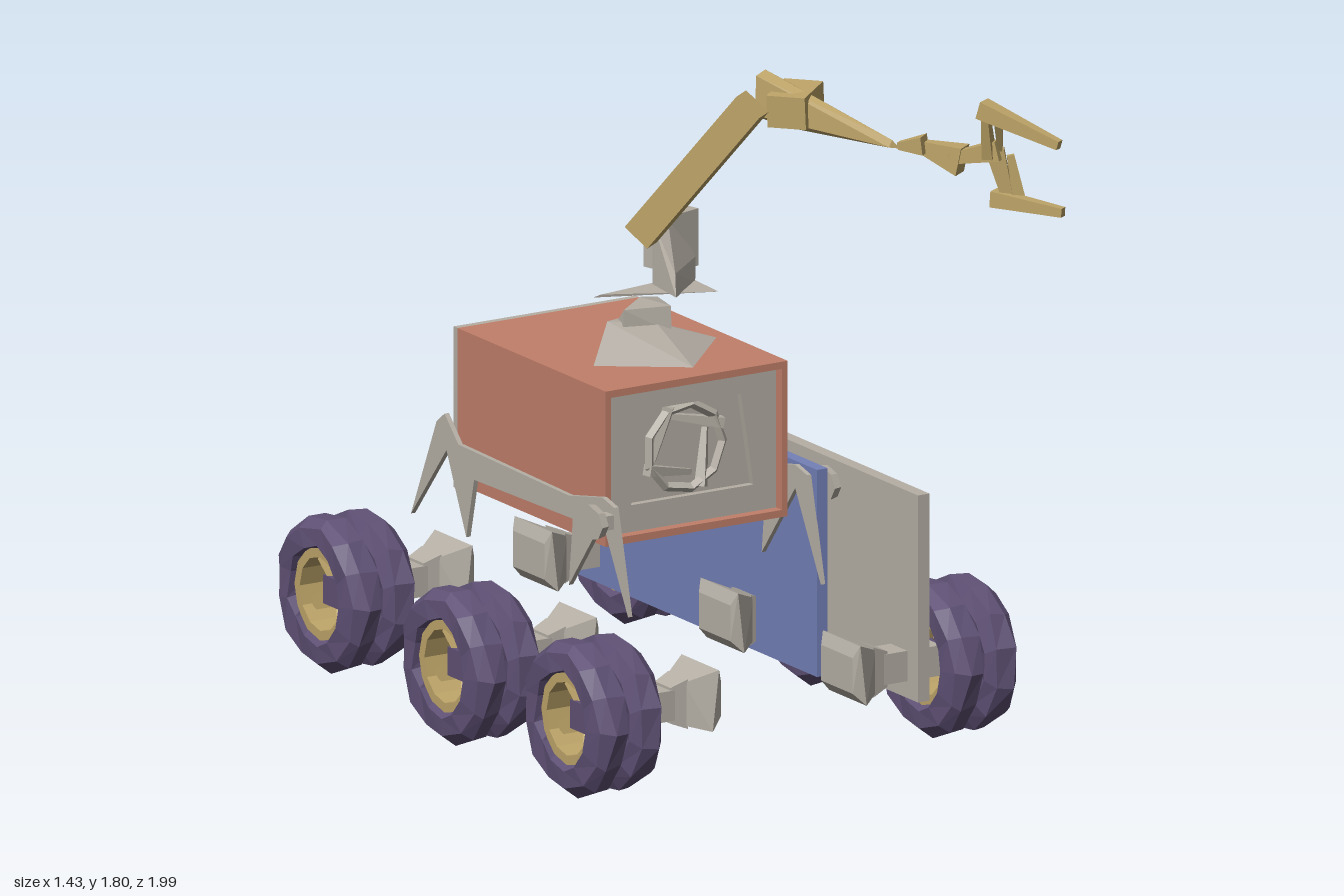
import * as THREE from 'three';
import { ConvexGeometry } from 'three/addons/geometries/ConvexGeometry.js';

const V = (x, y, z) => new THREE.Vector3(x, y, z);
const MID = -0.045; // plane the running gear is mirrored about
const AXLE_Y = 0.23;

function material(name, color) {
  const m = new THREE.MeshStandardMaterial({ color });
  m.name = name;
  return m;
}

// Flat facets for any geometry
function facet(geo) {
  const g = geo.index ? geo.toNonIndexed() : geo;
  g.computeVertexNormals();
  return g;
}

// Rough, repeatable displacement that keeps shared corners together
function roughen(geo, amount) {
  const p = geo.attributes.position;
  const hash = (x, y, z, k) => {
    const r = (v) => Math.round(v * 1000);
    const s = Math.sin(r(x) * 12.99 + r(y) * 78.23 + r(z) * 37.72 + k * 9.1) * 43758.5;
    return (s - Math.floor(s) - 0.5) * amount;
  };
  for (let i = 0; i < p.count; i++) {
    const x = p.getX(i), y = p.getY(i), z = p.getZ(i);
    p.setXYZ(i, x + hash(x, y, z, 1), y + hash(x, y, z, 2), z + hash(x, y, z, 3));
  }
  return geo;
}

export function createModel() {
  const root = new THREE.Group();
  root.name = 'rover';
  const grey = material('warm grey', 0xb5afa5);
  const red = material('terracotta', 0xc17f6a);
  const blue = material('slate blue', 0x7480b8);
  const purple = material('tyre purple', 0x5f5175);
  const tan = material('tan', 0xbda468);
  grey.side = tan.side = THREE.DoubleSide;

  const add = (name, geo, mat, parent = root) => {
    const mesh = new THREE.Mesh(geo, mat);
    mesh.name = name;
    parent.add(mesh);
    return mesh;
  };
  // Box from minimum and maximum corners
  const box = (name, mat, a, b, parent) => {
    const g = new THREE.BoxGeometry(b[0] - a[0], b[1] - a[1], b[2] - a[2]);
    g.translate((a[0] + b[0]) / 2, (a[1] + b[1]) / 2, (a[2] + b[2]) / 2);
    return add(name, g, mat, parent);
  };
  const hull = (name, mat, pts, parent) =>
    add(name, new ConvexGeometry(pts.map((p) => V(...p))), mat, parent);
  // Four-sided tapered bar between two points
  const bar = (name, mat, a, b, wa, wb, flat = 1, parent = root) => {
    const A = V(...a), d = V(...b).sub(A);
    const g = new THREE.CylinderGeometry(wb * 0.707, wa * 0.707, d.length(), 4);
    g.rotateY(Math.PI / 4).scale(flat, 1, 1);
    const m = add(name, facet(g), mat, parent);
    const Y = d.clone().normalize();
    const X = V(0, 1, 0).cross(Y).normalize();
    m.quaternion.setFromRotationMatrix(new THREE.Matrix4().makeBasis(X, Y, X.clone().cross(Y)));
    m.position.copy(A).addScaledVector(d, 0.5);
    return m;
  };
  const outline = (pts) => new THREE.Shape(pts.map(([x, y]) => new THREE.Vector2(x, y)));

  // Body: open-fronted shell, back plate and recessed front
  const shell = outline([[-0.33, 0.565], [0.25, 0.565], [0.25, 1], [-0.33, 1]]);
  shell.holes.push(outline([[-0.313, 0.585], [-0.313, 0.98], [0.232, 0.98], [0.232, 0.585]]));
  const shellGeo = new THREE.ExtrudeGeometry(shell, { depth: 0.75, bevelEnabled: false });
  add('bodyShell', shellGeo.translate(0, 0, -0.51), red);
  box('backPlate', grey, [-0.33, 0.55, -0.53], [0.25, 1, -0.51]);
  box('frontPanel', grey, [-0.313, 0.585, 0.1], [0.232, 0.98, 0.12]);
  const bezel = outline([[-0.313, 0.585], [0.232, 0.585], [0.232, 0.98], [-0.313, 0.98]]);
  bezel.holes.push(outline([[-0.23, 0.66], [-0.19, 0.92], [0.12, 0.92], [0.16, 0.66]]));
  const bezelGeo = new THREE.ExtrudeGeometry(bezel, { depth: 0.02, bevelEnabled: false });
  add('frontBezel', bezelGeo.translate(0, 0, 0.19), grey);
  const fan = new THREE.Group();
  fan.name = 'frontFan';
  fan.position.set(-0.04, 0.79, 0.18);
  root.add(fan);
  add('fanRing', facet(new THREE.TorusGeometry(0.12, 0.014, 4, 9)), grey, fan);
  for (let i = 0; i < 4; i++) {
    const a = i * Math.PI / 2 + 0.4, c = Math.cos(a), s = Math.sin(a);
    bar('fanBlade', grey, [c * 0.13, s * 0.13, 0], [-s * 0.09, c * 0.09, -0.03], 0.03, 0.015, 1, fan);
  }

  // Side panels
  box('longSidePanel', blue, [0.268, 0.14, -0.865], [0.302, 0.72, 0.36]);
  box('frontSidePanel', grey, [0.363, 0.14, -0.08], [0.4, 0.72, 0.72]);

  // Wheels: two rough tyre rings on a spoked rim
  const lathe = (pts, n) => new THREE.LatheGeometry(pts.map(([r, y]) => new THREE.Vector2(r, y)), n);
  const tyreGeo = facet(roughen(lathe([[0.125, -0.04], [0.175, -0.05], [0.21, -0.03], [0.217, 0.015],
    [0.19, 0.047], [0.135, 0.045], [0.125, -0.04]], 13), 0.017).rotateZ(Math.PI / 2));
  const rimGeo = facet(lathe([[0.103, -0.085], [0.13, -0.085], [0.12, 0], [0.13, 0.085],
    [0.103, 0.085], [0.103, -0.085]], 12).rotateZ(Math.PI / 2));
  const addWheel = (x, z, side) => {
    const wheel = new THREE.Group();
    wheel.name = 'wheel';
    wheel.position.set(x, AXLE_Y, z);
    root.add(wheel);
    for (const s of [-1, 1]) {
      const tyre = add('tyre', tyreGeo, purple, wheel);
      tyre.position.x = s * 0.058;
      tyre.rotation.y = s > 0 ? Math.PI : 0;
    }
    add('rim', rimGeo, tan, wheel);
    for (let i = 0; i < 4; i++) {
      const a = i * Math.PI / 2 + 0.5;
      bar('spoke', tan, [0, 0.03 * Math.sin(a), 0.03 * Math.cos(a)],
        [side * 0.04, 0.108 * Math.sin(a), 0.108 * Math.cos(a)], 0.06, 0.035, 1, wheel);
    }
    box('hubCap', purple, [-0.05, -0.04, -0.04], [0.05, 0.04, 0.04], wheel);
  };

  // Axle with a flared motor at its inner end
  const addAxle = (x, z, s) => {
    const at = (d, y, w) => [x - s * d, AXLE_Y + y, z + w];
    bar('axle', grey, at(0.05, 0, 0), at(0.25, 0, 0), 0.085, 0.085);
    const neck = [], end = [];
    for (const a of [-1, 1]) for (const b of [-1, 1]) {
      neck.push(at(0.22, a * 0.05, b * 0.04), at(0.27, a * 0.07, b * 0.05));
      end.push(at(0.26, a * 0.06, b * 0.045), at(0.33 + a * 0.01, a * 0.085 + 0.01, b * 0.095),
        at(0.355, a * 0.05 + 0.01, b * 0.08));
    }
    hull('motorNeck', grey, neck);
    hull('motor', grey, end);
  };

  // Rocker suspension plate, outlined in z and y
  const rocker = outline([[-0.7, 0.44], [-0.57, 0.73], [-0.53, 0.76], [-0.46, 0.69], [0.1, 0.68],
    [0.27, 0.715], [0.33, 0.7], [0.4, 0.41], [0.27, 0.65], [0.1, 0.43], [0.12, 0.62],
    [-0.38, 0.61], [-0.42, 0.44], [-0.52, 0.66]]);
  for (const s of [-1, 1]) {
    for (const [dx, z] of [[0.565, 0.625], [0.565, 0.005], [0.467, -0.782]]) {
      addWheel(MID + s * dx, z, s);
      addAxle(MID + s * dx, z, s);
    }
    const g = new THREE.ExtrudeGeometry(rocker, { depth: 0.014, bevelEnabled: false });
    g.rotateY(-Math.PI / 2).translate(MID + s * 0.307 + 0.007, 0, 0);
    add('rocker', g, grey);
    const pivot = new THREE.CylinderGeometry(0.05, 0.045, 0.025, 8).rotateZ(Math.PI / 2);
    pivot.scale(1, 1, 1.5).translate(MID + s * 0.37, 0.665, 0.305);
    add('rockerPivot', facet(pivot), grey);
    bar('pivotPin', grey, [MID + s * 0.3, 0.66, 0.31], [MID + s * 0.37, 0.66, 0.31], 0.04, 0.04);
  }

  // Arm turntable and shoulder
  hull('turntable', grey, [[-0.23, 1.005, 0.02], [0, 1.005, -0.18], [0.155, 1.03, 0.03], [-0.02, 1.01, 0.19],
    [0.12, 1.005, -0.04], [-0.18, 1.12, 0.01], [-0.08, 1.11, -0.04], [-0.04, 1.1, 0.04]]);
  hull('turntableCap', grey, [[-0.15, 1.06, 0.04], [-0.14, 1.15, 0.03], [-0.07, 1.17, 0], [0.01, 1.15, -0.04],
    [0.02, 1.07, -0.05], [0, 1.07, 0.05], [-0.13, 1.07, -0.05], [0.01, 1.14, 0.03]]);
  hull('shoulderPlate', grey, [[-0.22, 1.19, 0.0], [0.1, 1.19, 0.13], [0.1, 1.195, -0.04], [-0.2, 1.198, 0.01]]);
  hull('shoulderWedge', grey, [[-0.03, 1.19, 0.12], [0.1, 1.19, 0.01], [-0.03, 1.2, 0], [-0.03, 1.38, 0.0],
    [0.035, 1.42, -0.04], [0.12, 1.25, -0.02], [-0.02, 1.25, 0.1]]);
  const shoulder = box('shoulderMotor', grey, [-0.055, -0.08, -0.05], [0.055, 0.08, 0.05]);
  shoulder.position.set(0.07, 1.3, -0.065);
  shoulder.rotation.y = 0.25;

  // Upper arm, elbow and forearm
  bar('upperArm', tan, [-0.08, 1.35, 0.02], [0.11, 1.75, 0.285], 0.085, 0.085, 0.8);
  const elbow = box('elbow', tan, [-0.055, -0.045, -0.075], [0.055, 0.045, 0.075]);
  elbow.position.set(0.265, 1.72, 0.255);
  elbow.rotation.set(0.1, -0.9, 0.1);
  hull('forearm', tan, [[0.175, 1.8, 0.2], [0.21, 1.81, 0.19], [0.17, 1.69, 0.2], [0.23, 1.66, 0.24],
    [0.27, 1.77, 0.23], [0.4, 1.665, 0.53], [0.42, 1.64, 0.54], [0.39, 1.645, 0.53]]);

  // Wrist and two-fingered gripper
  bar('wrist', tan, [0.415, 1.65, 0.54], [0.46, 1.66, 0.6], 0.02, 0.05);
  bar('wrist', tan, [0.45, 1.655, 0.56], [0.53, 1.625, 0.68], 0.025, 0.08, 0.7);
  bar('palm', tan, [0.5, 1.63, 0.66], [0.59, 1.665, 0.77], 0.03, 0.055, 0.7);
  bar('upperLink', tan, [0.57, 1.65, 0.75], [0.54, 1.78, 0.78], 0.05, 0.03, 0.6);
  bar('upperLink', tan, [0.6, 1.66, 0.76], [0.57, 1.77, 0.8], 0.02, 0.04, 0.6);
  bar('lowerLink', tan, [0.59, 1.66, 0.75], [0.62, 1.52, 0.77], 0.05, 0.03, 0.6);
  bar('lowerLink', tan, [0.62, 1.65, 0.78], [0.64, 1.53, 0.79], 0.02, 0.035, 0.6);
  bar('upperFinger', tan, [0.535, 1.79, 0.77], [0.65, 1.72, 0.98], 0.05, 0.025, 0.9);
  bar('lowerFinger', tan, [0.59, 1.525, 0.74], [0.7, 1.51, 0.92], 0.045, 0.025, 0.9);

  return root;
}
